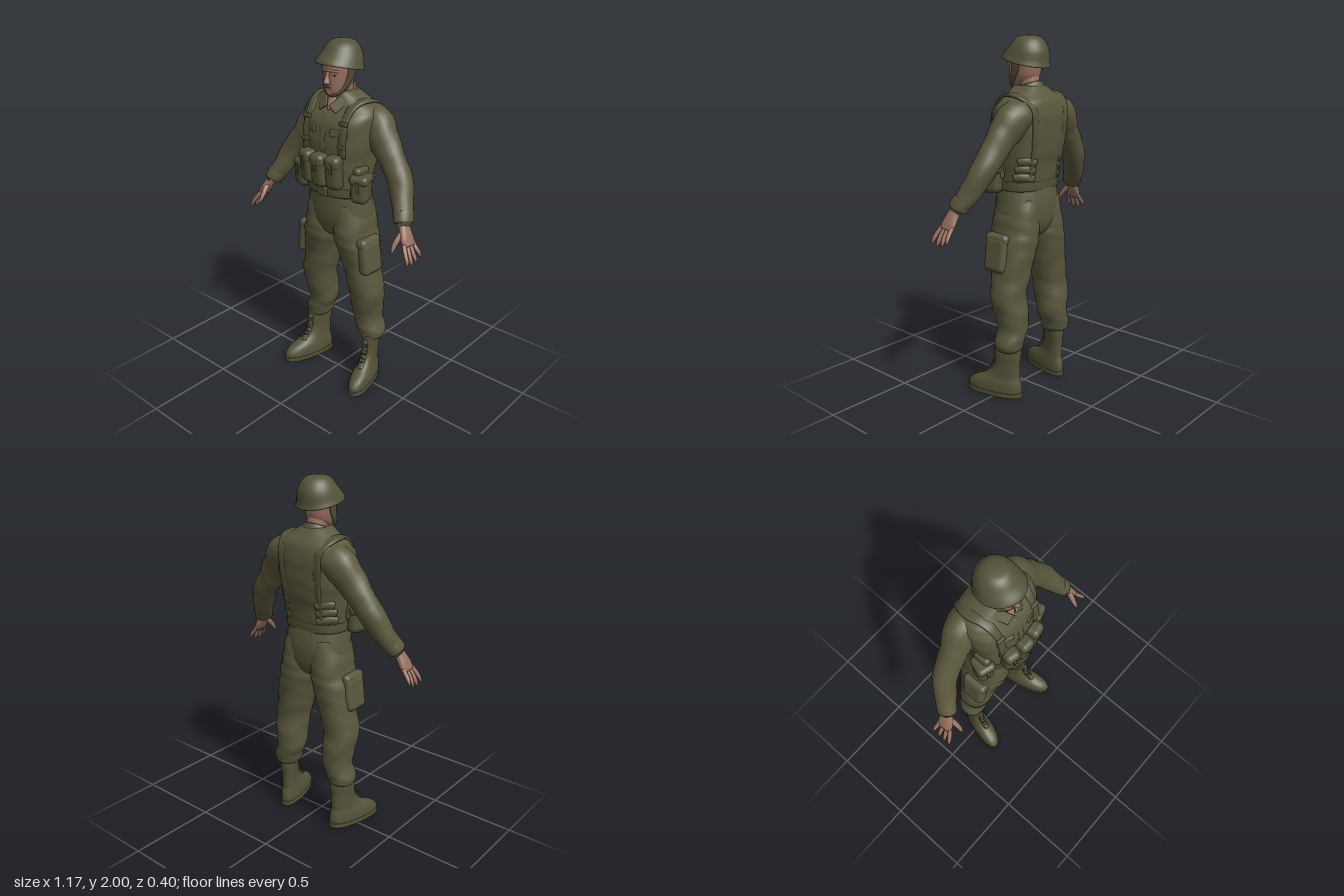
import * as THREE from 'three';
import { RoundedBoxGeometry } from 'three/addons/geometries/RoundedBoxGeometry.js';

const mat = (name, color) => {
  const m = new THREE.MeshStandardMaterial({ color });
  m.name = name;
  return m;
};
const M = {
  cloth: mat('olive cloth', 0x5a573c),
  helmet: mat('helmet green', 0x54533a),
  web: mat('webbing', 0x535138),
  boot: mat('boot olive', 0x555238),
  skin: mat('skin', 0x98705e),
  shade: mat('facial detail', 0x664a3e),
  lace: mat('lace dark', 0x36342a),
};

// Superellipse sections [x, y, z, ru, rv], smoothed and joined into a closed skin.
// flat keeps sections horizontal; otherwise they stand across the path, rv along hint.
function loft(rows, { flat = false, n = 2, seg = 24, sub = 4, fold = 0, hint = [0, 0, 1] } = {}) {
  const rings = [];
  for (let i = 0; i < rows.length - 1; i++) {
    const [p0, p1, p2, p3] = [-1, 0, 1, 2].map(k => rows[Math.min(rows.length - 1, Math.max(0, i + k))]);
    for (let s = 0; s < sub; s++) {
      const t = s / sub;
      rings.push(p1.map((b, k) => b + 0.5 * t * (p2[k] - p0[k] + t * (2 * p0[k] - 5 * b + 4 * p2[k] - p3[k]
        + t * (3 * (b - p2[k]) + p3[k] - p0[k])))));
    }
  }
  rings.push(rows[rows.length - 1]);
  const pos = [], idx = [], h = new THREE.Vector3(...hint), last = rings.length - 1;
  const at = i => new THREE.Vector3(...rings[Math.min(last, Math.max(0, i))].slice(0, 3));
  const pw = v => Math.sign(v) * Math.abs(v) ** (2 / n);
  rings.forEach((r, i) => {
    const T = at(i + 1).sub(at(i - 1)).normalize();
    if (flat) T.set(0, Math.sign(rows[rows.length - 1][1] - rows[0][1]), 0);
    const V = h.clone().addScaledVector(T, -h.dot(T)).normalize();
    const U = V.clone().cross(T);
    for (let j = 0; j < seg; j++) {
      const a = j / seg * Math.PI * 2;
      const f = 1 + fold * Math.sin(i / sub * 5 + 2 * Math.sin(a * 2 + i * 0.3));
      const p = at(i).addScaledVector(U, r[3] * f * pw(Math.cos(a))).addScaledVector(V, r[4] * f * pw(Math.sin(a)));
      pos.push(p.x, p.y, p.z);
    }
  });
  for (let i = 0; i < last; i++) for (let j = 0; j < seg; j++) {
    const k = (j + 1) % seg, a = i * seg + j, b = i * seg + k;
    idx.push(a, b, b + seg, a, b + seg, a + seg);
  }
  // end caps
  const c0 = pos.length / 3, e = last * seg;
  pos.push(...rings[0].slice(0, 3), ...rings[last].slice(0, 3));
  for (let j = 0; j < seg; j++) {
    const k = (j + 1) % seg;
    idx.push(c0, k, j, c0 + 1, e + j, e + k);
  }
  const g = new THREE.BufferGeometry();
  g.setAttribute('position', new THREE.Float32BufferAttribute(pos, 3));
  g.setIndex(idx);
  g.computeVertexNormals();
  return g;
}

// Move every vertex by a rule
function bend(g, rule) {
  const p = g.attributes.position, v = new THREE.Vector3();
  for (let i = 0; i < p.count; i++) {
    rule(v.fromBufferAttribute(p, i));
    p.setXYZ(i, v.x, v.y, v.z);
  }
  g.computeVertexNormals();
  return g;
}

// Torso sections, also used to lay gear on its surface
const TORSO = [[0, 1.18, -.018, .175, .137], [0, 1.3, -.02, .185, .15], [0, 1.4, -.03, .2, .16], [0, 1.5, -.035, .215, .165],
  [0, 1.6, -.045, .222, .155], [0, 1.66, -.06, .2, .126], [0, 1.7, -.052, .135, .1], [0, 1.74, -.04, .075, .075]];
function surf(x, y, s) {
  let i = 0;
  while (i < TORSO.length - 2 && TORSO[i + 1][1] < y) i++;
  const a = TORSO[i], b = TORSO[i + 1], t = (y - a[1]) / (b[1] - a[1]);
  const [z, rx, rz] = [2, 3, 4].map(k => a[k] + (b[k] - a[k]) * t);
  return z + s * rz * Math.max(0, 1 - (Math.abs(x) / rx) ** 2.6) ** (1 / 2.6);
}

export function createModel() {
  const root = new THREE.Group();
  root.name = 'soldier';
  const add = (name, g, m, p = [0, 0, 0], r = [0, 0, 0]) => {
    const o = new THREE.Mesh(g, m);
    o.name = name;
    o.position.set(...p);
    o.rotation.set(...r);
    root.add(o);
  };
  const box = (w, h, d, r = .01) => new RoundedBoxGeometry(w, h, d, 3, Math.min(r, w / 2.1, h / 2.1, d / 2.1));

  // Jacket and hips
  add('jacket', loft(TORSO, { flat: true, n: 2.6, seg: 36, fold: .012 }), M.cloth);
  add('hips', loft([[0, 1.24, -.015, .174, .138], [0, 1.12, -.026, .187, .147], [0, 1.04, -.028, .193, .142],
    [0, .98, -.03, .165, .128], [0, .93, -.03, .09, .1], [0, .905, -.03, .03, .06]], { flat: true, n: 2.3, seg: 32 }), M.cloth);
  add('belt', loft([[0, 1.185, -.017, .181, .142], [0, 1.19, -.017, .183, .145], [0, 1.232, -.018, .184, .147],
    [0, 1.238, -.018, .181, .143]], { flat: true, n: 2.6, seg: 36, sub: 1 }), M.web);
  add('buckle', box(.07, .055, .016), M.web, [0, 1.21, .132]);
  add('jacketPlacket', loft([1.42, 1.5, 1.58, 1.63].map(y => [0, y, surf(0, y, 1) - .001, .005, .018]),
    { hint: [1, 0, 0], seg: 12 }), M.cloth);

  // Collar, higher at the nape
  add('collar', bend(loft([[0, 1.685, -.042, .092, .085], [0, 1.715, -.042, .082, .078], [0, 1.74, -.042, .068, .07]],
    { flat: true }), v => { v.y -= (v.z + .04) * .35; }), M.cloth);

  // Neck, head and face
  add('neck', loft([[0, 1.66, -.05, .056, .058], [0, 1.74, -.04, .055, .06], [0, 1.8, -.03, .056, .06]], { flat: true }), M.skin);
  add('throat', loft([[0, 1.65, .074, .006, .01], [0, 1.68, .058, .02, .012], [0, 1.715, .03, .032, .014]], { flat: true, seg: 12 }), M.skin);
  add('head', loft([[0, 1.722, .04, .026, .026], [0, 1.74, .018, .05, .058], [0, 1.775, -.003, .066, .083],
    [0, 1.83, -.01, .076, .09], [0, 1.89, -.012, .078, .09], [0, 1.93, -.015, .05, .06]], { flat: true, n: 2.3 }), M.skin);
  add('nose', loft([[0, 1.783, .082, .012, .012], [0, 1.794, .088, .018, .022], [0, 1.82, .084, .01, .014],
    [0, 1.85, .076, .009, .009]], { flat: true, seg: 12 }), M.skin);
  add('brow', loft([[-.055, 1.852, .058, .009, .01], [0, 1.855, .076, .009, .01], [.055, 1.852, .058, .009, .01]], { seg: 10 }), M.skin);
  add('mouth', box(.04, .006, .008), M.shade, [0, 1.766, .078]);
  add('chin', new THREE.SphereGeometry(.022, 14, 10), M.skin, [0, 1.74, .058]);

  // Helmet: brim rises at the face and drops at the nape
  add('helmet', bend(loft([[0, 1.86, -.015, .118, .128], [0, 1.862, -.015, .125, .136], [0, 1.885, -.018, .118, .13],
    [0, 1.93, -.035, .104, .112], [0, 1.97, -.038, .083, .087], [0, 1.994, -.036, .052, .056], [0, 2, -.036, .014, .014]],
    { flat: true, seg: 32 }), v => { v.y += .22 * (v.z + .015) * Math.max(0, (2 - v.y) / .14); }), M.helmet);
  // Chin strap, broad beside the ears and narrow under the chin
  add('chinStrap', loft([[-.083, 1.865, -.012, .006, .026], [-.079, 1.82, -.005, .006, .024], [-.069, 1.77, .022, .007, .014],
    [-.045, 1.735, .042, .007, .012], [0, 1.719, .056, .007, .014], [.045, 1.735, .042, .007, .012], [.069, 1.77, .022, .007, .014],
    [.079, 1.82, -.005, .006, .024], [.083, 1.865, -.012, .006, .026]], { seg: 12, n: 3 }), M.web);
  add('helmetBand', loft([[0, 1.832, -.018, .066, .085], [0, 1.855, -.018, .072, .088]], { flat: true, sub: 1 }), M.web);

  // Ammunition pouches across the belly, narrower at the bottom
  for (const x of [-.092, 0, .092]) {
    const z = .155 - Math.abs(x) * .15, yaw = x * 2.2;
    add('ammoPouch', bend(box(.088, .18, .078, .03), v => { v.z -= Math.max(0, -v.y) * .2; }), M.web, [x, 1.33, z], [0, yaw, 0]);
    add('ammoPouchFlap', box(.092, .075, .085, .03), M.web, [x, 1.395, z], [0, yaw, 0]);
    add('ammoPouchTab', box(.018, .06, .008, .003), M.web, [x + Math.sin(yaw) * .04, 1.37, z + .039], [0, yaw, 0]);
  }

  for (const s of [1, -1]) {
    const side = s > 0 ? 'left' : 'right';
    const put = (name, g, m, p, r) => add(side + name, g, m, p, r);
    const L = (rows, o) => loft(rows.map(([x, ...q]) => [x * s, ...q]), o);

    put('Eye', box(.024, .007, .006, .003), M.shade, [s * .031, 1.832, .073], [0, s * .35, 0]);

    // Collar point and chest pocket flap
    put('CollarPoint', box(.056, .09, .012, .005), M.cloth, [s * .052, 1.682, .055], [-.65, s * .35, s * -.5]);
    put('ChestPocketFlap', box(.1, .04, .014, .006), M.cloth, [s * .1, 1.545, surf(.1, 1.545, 1) - .002], [-.05, s * .3, 0]);

    // Shoulder strap from front pouches over the shoulder to the belt
    const front = [1.42, 1.5, 1.57, 1.62].map(y => [.125, y, surf(.125, y, 1) + .002, .009, .021]);
    const back = [1.62, 1.55, 1.45, 1.35, 1.24].map((y, i) => [.125 - i * .006, y, surf(.12, y, -1), .008, .021]);
    put('ShoulderStrap', L([...front, [.13, 1.668, .045, .01, .024], [.137, 1.693, -.01, .01, .03], [.145, 1.695, -.06, .01, .036],
      [.145, 1.686, -.11, .01, .034], [.135, 1.662, -.152, .01, .026], ...back], { hint: [1, 0, 0], n: 4, seg: 12 }), M.web);
    for (const y of [1.48, 1.6]) put('StrapBuckle', box(.05, .022, .018, .005), M.web, [s * .125, y, surf(.125, y, 1) + .008], [-.1, 0, 0]);

    // Jacket folds gathered above the belt at the back
    for (const y of [1.255, 1.3, 1.345]) {
      put('JacketFold', L([.09, .12, .15, .172].map((x, i) => [x, y + .01 * Math.sin(i), surf(x, y, -1) + .006, .024, .014]), { seg: 12 }), M.cloth);
    }

    // Side pouches on the belt
    put('BeltPouch', box(.1, .15, .11, .035), M.web, [s * .2, 1.245, .045], [0, s * .3, 0]);
    put('BeltPouchFlap', box(.108, .055, .118, .025), M.web, [s * .2, 1.303, .045], [0, s * .3, 0]);
    put('BeltPouchTab', box(.02, .06, .01, .004), M.web, [s * .217, 1.27, .1], [0, s * .3, 0]);
    put('HipPouch', box(.05, .12, .1, .022), M.web, [s * .185, 1.305, .03]);

    // Sleeve
    put('Sleeve', L([[.1, 1.61, -.085, .07, .085], [.18, 1.578, -.094, .096, .092], [.245, 1.505, -.078, .088, .079],
      [.305, 1.425, -.068, .076, .071], [.38, 1.322, -.052, .069, .066], [.433, 1.215, -.012, .058, .061], [.474, 1.14, .03, .047, .053],
      [.478, 1.13, .035, .038, .044]], { fold: .03 }), M.cloth);
    put('Cuff', L([[.454, 1.18, .01, .046, .052], [.458, 1.172, .013, .052, .059], [.478, 1.133, .034, .05, .056],
      [.48, 1.128, .036, .042, .048]], { sub: 1 }), M.cloth);

    // Hand with spread fingers
    put('Palm', L([[.47, 1.15, .03, .024, .03], [.495, 1.105, .046, .023, .036], [.52, 1.06, .056, .021, .046],
      [.538, 1.025, .06, .015, .044]], { n: 2.4, seg: 16 }), M.skin);
    for (let i = 0; i < 4; i++) {
      const b = .096 - i * .024, t = .128 - i * .037, d = [.01, 0, .004, .022][i];
      put('Finger', L([[.53, 1.04, b, .012, .0125], [.556, .995 + d / 2, (b + t) / 2 + .002, .0115, .012],
        [.572, .962 + d, t * .8 + b * .2, .01, .0105], [.58, .942 + d, t, .005, .005]], { seg: 10 }), M.skin);
    }
    put('Thumb', L([[.498, 1.09, .07, .018, .017], [.49, 1.055, .105, .015, .015], [.488, 1.025, .128, .012, .012],
      [.49, 1.0, .145, .005, .005]], { seg: 10 }), M.skin);

    // Trouser leg, bloused over the boot
    put('TrouserLeg', L([[.09, 1.14, -.028, .08, .125], [.098, 1.04, -.03, .1, .139], [.105, .96, -.03, .105, .142],
      [.117, .89, -.033, .114, .138], [.138, .8, -.04, .107, .12], [.157, .7, -.042, .102, .108], [.18, .6, -.043, .099, .1],
      [.176, .5, -.06, .09, .097], [.173, .41, -.07, .083, .086], [.198, .345, -.068, .08, .083], [.205, .3, -.067, .074, .076],
      [.207, .28, -.06, .05, .06]], { flat: true, n: 2.2, fold: .022, seg: 28 }), M.cloth);

    // Cargo pocket
    put('CargoPocket', box(.07, .2, .15, .032), M.cloth, [s * .228, .835, -.005], [0, 0, s * .12]);
    put('CargoFlap', box(.07, .06, .155, .026), M.cloth, [s * .214, .92, -.005], [0, 0, s * .18]);

    // Boot, toe turned outward
    const toeOut = v => { v.x += s * .23 * (v.z + .05); };
    put('Boot', bend(L([[.207, .015, .022, .058, .16], [.207, .05, .022, .06, .162], [.207, .085, .008, .057, .143],
      [.206, .115, -.018, .05, .108], [.207, .15, -.042, .046, .084], [.207, .2, -.056, .046, .07],
      [.207, .26, -.06, .05, .072], [.207, .31, -.06, .052, .07]], { flat: true, n: 2.3 }), toeOut), M.boot);
    put('Sole', bend(L([[.207, 0, .022, .056, .16], [.207, .004, .022, .062, .165], [.207, .026, .022, .062, .165],
      [.207, .03, .022, .058, .162]], { flat: true, n: 2.4, sub: 1 }), toeOut), M.boot);
    put('BootTongue', L([[.23, .115, .07, .012, .02], [.222, .16, .036, .01, .019], [.219, .21, .014, .01, .019],
      [.219, .28, .012, .01, .019]], { seg: 12, hint: [1, 0, 0] }), M.boot);
    for (let i = 0; i < 7; i++) {
      const y = .13 + i * .022, z = .018 + .047 * Math.max(0, 1 - i / 4);
      put('Lace', box(.042, .006, .008, .003), M.lace, [s * (.218 + z * .12), y, z], [0, 0, i % 2 ? .3 : -.3]);
    }
  }
  return root;
}
